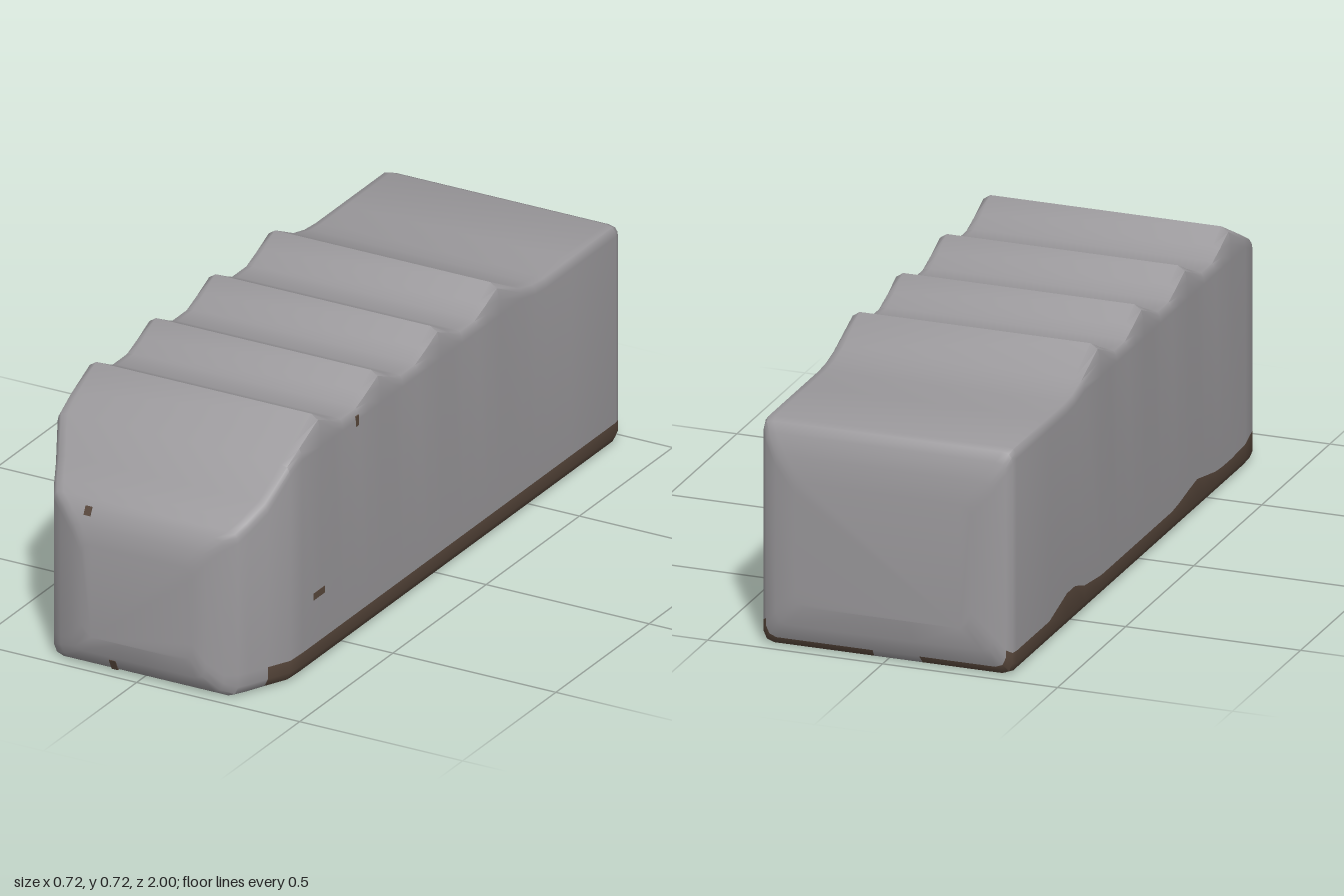
import * as THREE from 'three';
import { toCreasedNormals } from 'three/addons/utils/BufferGeometryUtils.js';

const gray = new THREE.MeshStandardMaterial({ color: 0x9a989b });
gray.name = 'stone gray';
const brown = new THREE.MeshStandardMaterial({ color: 0x5a493d });
brown.name = 'dark brown';

// Stations along the body: z, half width, top height, bottom height
function bodyStations() {
  const list = [
    [-1, 0.25, 0.48, 0.13], [-0.99, 0.31, 0.55, 0.07], [-0.975, 0.343, 0.605, 0.025],
    [-0.96, 0.356, 0.632, 0.004], [-0.94, 0.36, 0.64, 0], [-0.7, 0.36, 0.64, 0],
    [-0.57, 0.36, 0.64, 0], [-0.51, 0.36, 0.645, 0], [-0.44, 0.36, 0.662, 0],
  ];
  // Four finger ridges with shallow valleys between them
  for (const z of [-0.32, 0, 0.32, 0.64]) {
    if (z > -0.3) list.push([z - 0.12, 0.36, 0.663, 0]);
    if (z > -0.3) list.push([z - 0.065, 0.36, 0.687, 0]);
    list.push([z, 0.36, 0.72, 0]);
    if (z < 0.6) list.push([z + 0.065, 0.36, 0.687, 0], [z + 0.12, 0.36, 0.663, 0]);
  }
  // Tapered nose
  list.push([0.74, 0.36, 0.668, 0], [0.8, 0.357, 0.635, 0], [0.865, 0.325, 0.545, 0],
    [0.92, 0.3, 0.505, 0], [0.95, 0.283, 0.482, 0], [0.97, 0.25, 0.462, 0.012],
    [0.99, 0.205, 0.42, 0.05], [1, 0.17, 0.37, 0.1]);
  return list;
}

// Uneven upper edge of the brown base on the right-hand flank
function baseEdge(z) {
  const bump = (c, w, h) => h * Math.max(0, 1 - Math.abs(z - c) / w);
  return 0.065 + bump(-0.54, 0.14, 0.045) + bump(0.38, 0.16, 0.03) + bump(0.82, 0.1, 0.03);
}

// Rounded cross-section, counter-clockwise seen from the front
function ring([z, w, top, bottom]) {
  const shoulder = Math.min(0.63, top - 0.03);
  const h = top - shoulder;
  const k = w / 0.36;
  const side = (edge) => [
    [w - 0.03, bottom], [w - 0.01, bottom + 0.008], [w, bottom + 0.03],
    [w, Math.max(edge, bottom + 0.05)], [w, shoulder],
    [w - 0.003, shoulder + 0.5 * h], [w - 0.01, shoulder + 0.85 * h], [w - 0.03, top],
  ];
  const plus = side(0.065);
  const minus = side(baseEdge(z)).map(([x, y]) => [-x, y]).reverse();
  // Two extra points bound the gap between the strips under the body
  const pts = [...minus.slice(-1), [-0.1 * k, bottom], [0.04 * k, bottom], ...plus, ...minus.slice(0, -1)];
  return pts.map(([x, y]) => [x, y, z]);
}

function buildBody() {
  const stations = bodyStations();
  const rings = stations.map(ring);
  const n = rings[0].length;
  const grayFaces = [], brownFaces = [];

  for (let i = 0; i < rings.length - 1; i++) {
    const z = (stations[i][0] + stations[i + 1][0]) / 2;
    for (let j = 0; j < n; j++) {
      const a = i * n + j, b = i * n + ((j + 1) % n);
      const under = j === 0 || j === 2;
      const flank = (j >= 3 && j <= 5) || j >= n - 3;
      const isBrown = z > -0.98 && ((under && z < 0.8) || (flank && z < 0.86));
      (isBrown ? brownFaces : grayFaces).push(a, b, b + n, a, b + n, a + n);
    }
  }
  // End caps
  const last = (rings.length - 1) * n;
  for (let j = 1; j < n - 1; j++) {
    grayFaces.push(0, j + 1, j, last, last + j, last + j + 1);
  }

  const geo = new THREE.BufferGeometry();
  geo.setAttribute('position', new THREE.Float32BufferAttribute(rings.flat(2), 3));
  geo.setIndex([...grayFaces, ...brownFaces]);
  geo.addGroup(0, grayFaces.length, 0);
  geo.addGroup(grayFaces.length, brownFaces.length, 1);
  const mesh = new THREE.Mesh(toCreasedNormals(geo, 0.8), [gray, brown]);
  mesh.name = 'ridgedBody';
  return mesh;
}

// Small thin paint marks
function mark(name, size, pos, tilt = 0) {
  const mesh = new THREE.Mesh(new THREE.BoxGeometry(...size), brown);
  mesh.name = name;
  mesh.position.set(...pos);
  mesh.rotation.x = tilt;
  return mesh;
}

export function createModel() {
  const group = new THREE.Group();
  group.name = 'ridgedGripBlock';
  group.add(
    buildBody(),
    mark('noseMark', [0.02, 0.026, 0.006], [-0.164, 0.455, 0.973], -0.42),
    mark('noseBaseMark', [0.02, 0.036, 0.006], [-0.084, 0.024, 0.975], 0.46),
    mark('flankMark', [0.004, 0.02, 0.06], [0.359, 0.205, 0.65]),
    mark('flankTopMark', [0.004, 0.03, 0.016], [0.359, 0.628, 0.446]),
  );
  return group;
}
